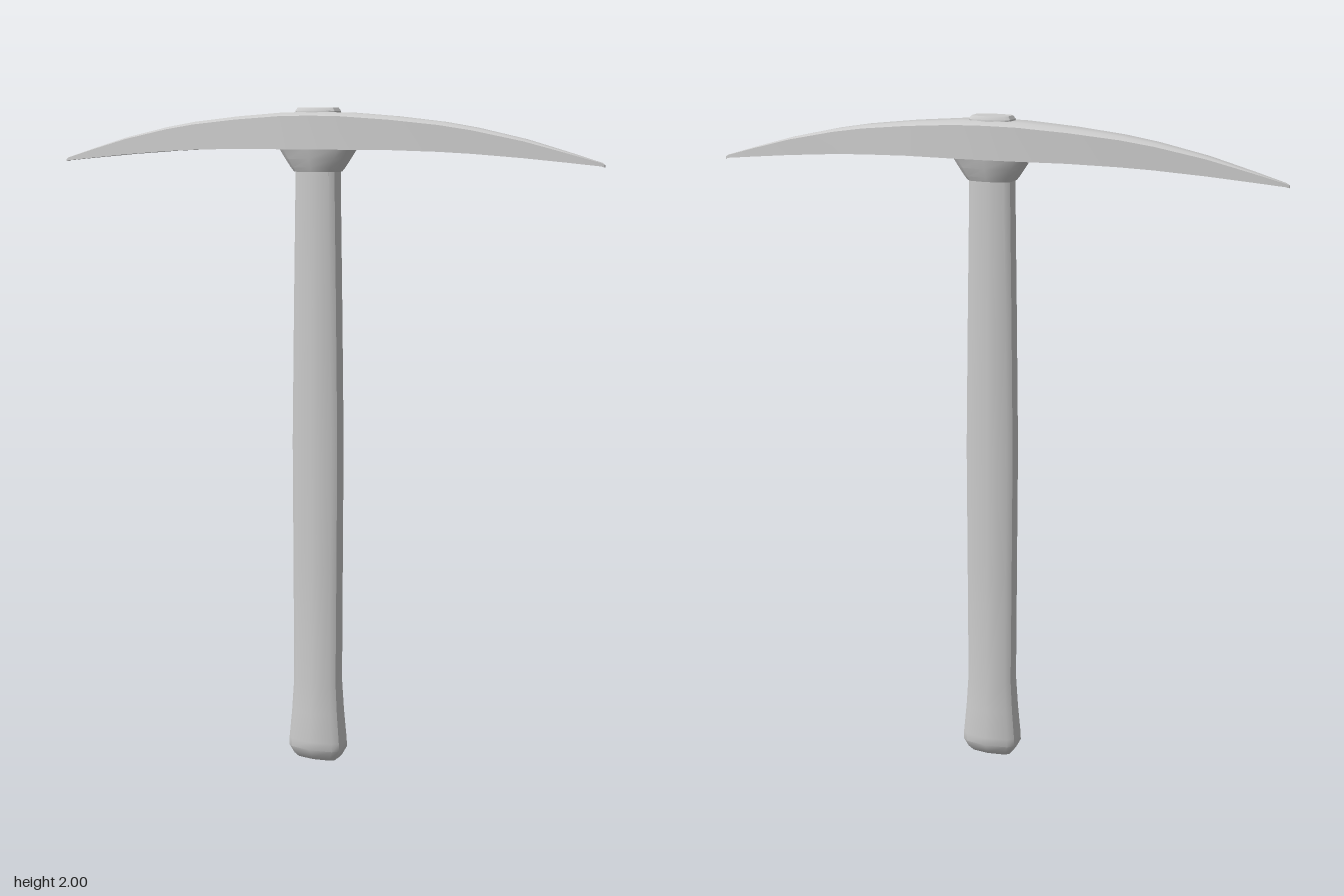
import * as THREE from 'three';
import { toCreasedNormals } from 'three/addons/utils/BufferGeometryUtils.js';

// Skin a list of equal-length rings and close both ends
function loft(rings, crease) {
  const n = rings[0].length, pos = [], index = [];
  rings.forEach(r => r.forEach(p => pos.push(...p)));
  for (let i = 0; i < rings.length - 1; i++) {
    for (let j = 0; j < n; j++) {
      const a = i * n + j, b = i * n + (j + 1) % n;
      index.push(a, a + n, b, b, a + n, b + n);
    }
  }
  const last = (rings.length - 1) * n;
  for (let j = 1; j < n - 1; j++) {
    index.push(0, j, j + 1, last, last + j + 1, last + j);
  }
  const g = new THREE.BufferGeometry();
  g.setAttribute('position', new THREE.Float32BufferAttribute(pos, 3));
  g.setIndex(index);
  return toCreasedNormals(g, crease);
}

// Flattened section with chamfered corners and a slight crown front and back
const SECTION = [
  [1, -0.5], [1, 0.5], [0.8, 0.78], [0, 1], [-0.8, 0.78],
  [-1, 0.5], [-1, -0.5], [-0.8, -0.78], [0, -1], [0.8, -0.78],
];
const shaft = profile => loft(
  profile.map(([y, rx, rz]) => SECTION.map(([x, z]) => [x * rx, y, z * rz])), 0.6);

export function createModel() {
  const group = new THREE.Group();
  const material = new THREE.MeshStandardMaterial({ color: 0xcccccc });
  const add = (name, geometry) => {
    const mesh = new THREE.Mesh(geometry, material);
    mesh.name = name;
    group.add(mesh);
  };

  // Handle: height, half width, half depth
  add('handle', shaft([
    [0, 0.065, 0.036], [0.008, 0.072, 0.044], [0.035, 0.086, 0.058], [0.06, 0.085, 0.058],
    [0.15, 0.077, 0.053], [0.25, 0.071, 0.048], [0.6, 0.073, 0.046],
    [1.0, 0.075, 0.046], [1.4, 0.07, 0.045], [1.8, 0.064, 0.044],
    [1.99, 0.064, 0.046], [2.0, 0.057, 0.04],
  ]));

  // Flared collar beneath the head
  add('collar', shaft([
    [1.812, 0.067, 0.05], [1.825, 0.077, 0.055], [1.85, 0.093, 0.063], [1.885, 0.115, 0.071],
  ]));

  // Half of the head: distance from centre, top, underside, half depth
  const half = [
    [0, 1.987, 1.878, 0.073], [0.1, 1.985, 1.878, 0.07], [0.25, 1.974, 1.878, 0.06],
    [0.4, 1.958, 1.874, 0.048], [0.5, 1.942, 1.869, 0.039], [0.65, 1.91, 1.858, 0.027],
    [0.78, 1.874, 1.846, 0.016], [0.872, 1.847, 1.837, 0.008], [0.882, 1.841, 1.834, 0.005],
  ];
  const stations = [
    ...half.slice(1).reverse().map(([x, ...rest]) => [-x, ...rest]),
    ...half,
  ];
  add('pickHead', loft(stations.map(([x, top, low, w]) => {
    const edge = top - (top - low) * 0.1;
    return [
      [x, edge, w * 0.95], [x, top, w * 0.55], [x, top, -w * 0.55],
      [x, edge, -w * 0.95], [x, low, -w], [x, low, w],
    ];
  }), 0.6));

  return group;
}
